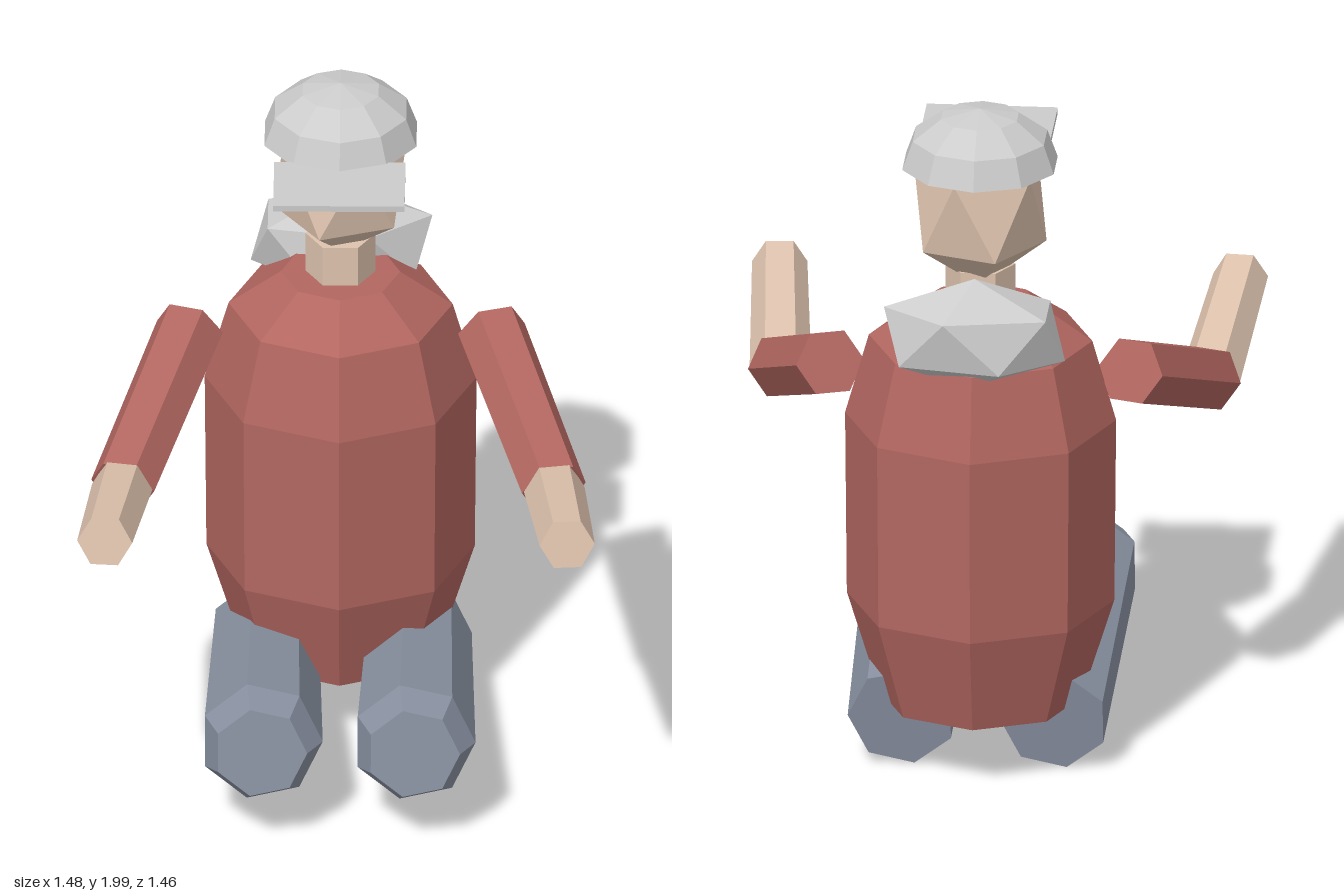
import * as THREE from 'three';

const mat = (color, side = THREE.FrontSide) =>
  new THREE.MeshStandardMaterial({ color, flatShading: true, side });

export function createModel() {
  const model = new THREE.Group();
  const shirt = mat(0xb26660);
  const skin = mat(0xdec3ae);
  const trousers = mat(0x8890a0);
  const grey = mat(0xcccccc);
  const greyOpen = mat(0xcccccc, THREE.DoubleSide);

  function add(name, geometry, material, x = 0, y = 0, z = 0) {
    const mesh = new THREE.Mesh(geometry, material);
    mesh.name = name;
    mesh.position.set(x, y, z);
    model.add(mesh);
    return mesh;
  }

  // faceted solid of revolution from [radius, height] pairs, bottom to top
  const lathe = (profile, sides, start = 0) =>
    new THREE.LatheGeometry(profile.map(([r, h]) => new THREE.Vector2(r, h)), sides, start);

  // limb from one point towards another, with a polygon corner pointing sideways
  function limb(name, from, to, profile, sides, material) {
    const geometry = lathe(profile, sides, Math.PI / 2).rotateX(Math.PI / 2);
    add(name, geometry, material, ...from).lookAt(...to);
  }

  // icosahedron standing on one corner, stretched to three radii
  const gem = (rx, ry, rz) =>
    new THREE.IcosahedronGeometry(1, 0)
      .rotateZ(-Math.atan(2 / (1 + Math.sqrt(5))))
      .scale(rx, ry, rz);

  // body
  add('torso', lathe([[0, 0.2], [0.29, 0.2], [0.383, 0.5], [0.388, 1.05],
    [0.32, 1.29], [0.17, 1.395], [0, 1.4]], 8), shirt, 0, 0, -0.335);
  add('neck', lathe([[0, 1.36], [0.1, 1.36], [0.1, 1.52], [0, 1.52]], 6, Math.PI / 2),
    skin, 0, 0, -0.335);
  add('head', gem(0.2125, 0.26, 0.235), skin, 0, 1.716, -0.35);

  // cap with flat brim
  add('cap', new THREE.SphereGeometry(0.235, 10, 3, Math.PI / 2, Math.PI * 2, 0, Math.PI / 2)
    .scale(0.97, 0.167 / 0.235, 1), greyOpen, 0, 1.833, -0.357);
  add('capBrim', new THREE.BoxGeometry(0.375, 0.018, 0.255), grey, 0, 1.832, -0.05);

  // bundle behind the neck
  add('hood', gem(0.29, 0.168, 0.165), grey, 0, 1.385, -0.55);

  // arms and legs
  for (const [side, s] of [['left', 1], ['right', -1]]) {
    const shoulder = [s * 0.43, 1.205, -0.345];
    const elbow = [s * 0.615, 0.983, 0.185];
    const hand = [s * 0.66, 1.097, 0.715];
    const length = (a, b) => new THREE.Vector3(...a).distanceTo(new THREE.Vector3(...b));
    const upper = length(shoulder, elbow);
    const lower = length(elbow, hand);
    limb(side + 'UpperArm', shoulder, elbow,
      [[0, 0], [0.1, 0], [0.096, upper], [0, upper]], 6, shirt);
    limb(side + 'Forearm', elbow, hand,
      [[0, 0], [0.088, 0], [0.079, lower], [0, lower]], 6, skin);
    limb(side + 'Leg', [s * 0.218, 0.16, -0.43], [s * 0.218, 0.30, 0.455],
      [[0, 0], [0.155, 0], [0.177, 0.896], [0.134, 0.995], [0, 0.995]], 7, trousers);
  }
  return model;
}
